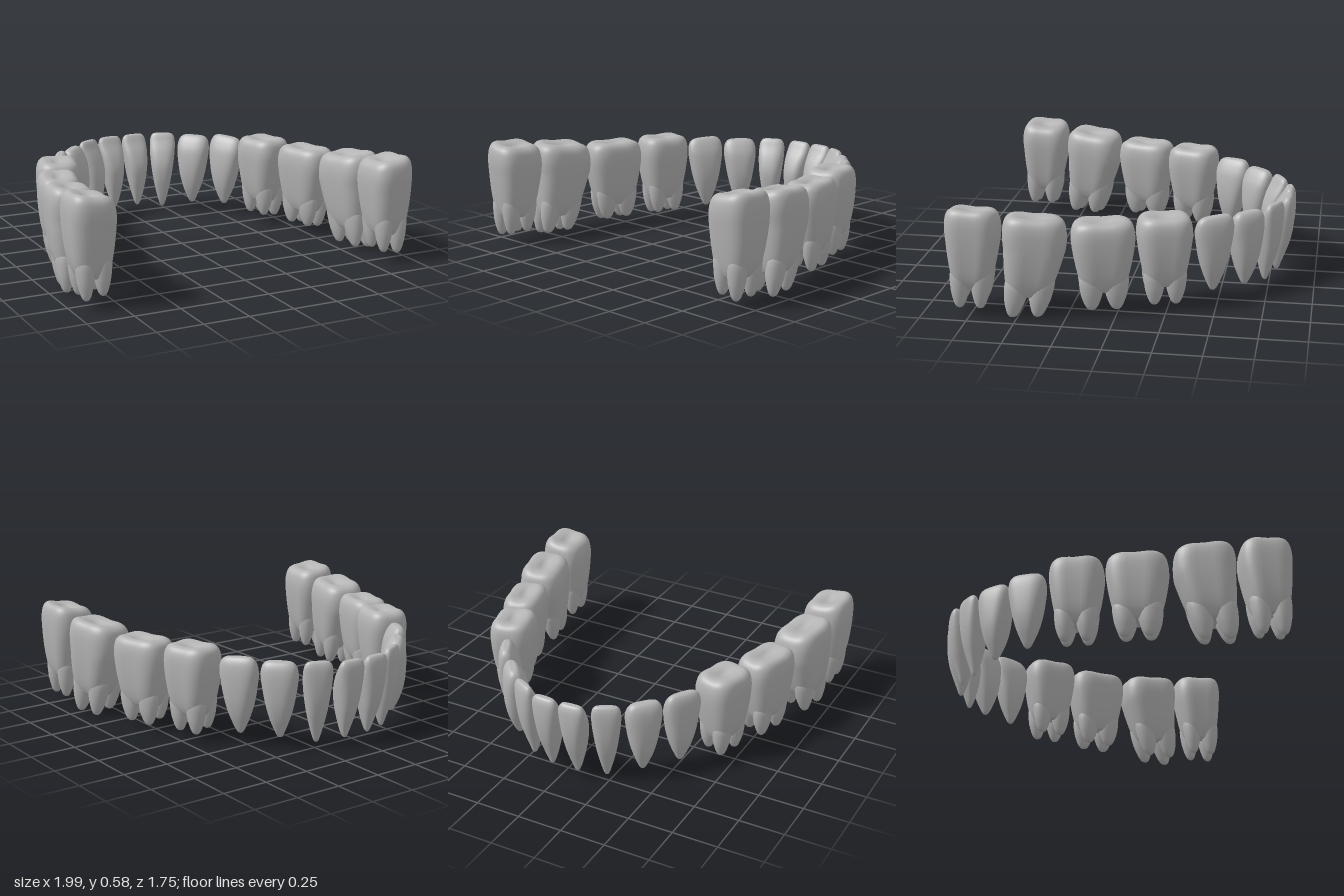
import * as THREE from 'three';

const enamel = new THREE.MeshStandardMaterial({ color: 0xb4b4b4 });
enamel.name = 'enamel grey';

// Profiles, bottom to top: [height, half width, inner depth, outer depth], all as fractions.
const INCISOR = [
  [0, 0, -0.25, -0.25], [0.02, 0.15, -0.42, -0.1], [0.1, 0.32, -0.62, 0.08], [0.25, 0.54, -0.85, 0.42],
  [0.4, 0.72, -1, 0.72], [0.58, 0.88, -0.98, 0.93], [0.76, 0.99, -0.6, 1], [0.9, 0.99, -0.08, 0.96],
  [0.97, 0.87, 0.16, 0.84], [1, 0.62, 0.32, 0.68], [1, 0, 0.5, 0.5],
];
const CANINE = [
  [0, 0, -0.1, -0.1], [0.02, 0.14, -0.3, 0.1], [0.1, 0.3, -0.55, 0.35], [0.25, 0.54, -0.85, 0.7],
  [0.42, 0.74, -1, 0.92], [0.6, 0.89, -0.98, 1], [0.78, 1, -0.8, 0.98], [0.9, 0.97, -0.5, 0.88],
  [0.97, 0.82, -0.22, 0.7], [1, 0.55, 0, 0.48], [1, 0, 0.22, 0.22],
];
const MOLAR = [
  [0.25, 0, 0, 0], [0.21, 0.5, -0.5, 0.5], [0.27, 0.69, -0.7, 0.72], [0.4, 0.81, -0.84, 0.87],
  [0.6, 0.93, -0.95, 0.97], [0.78, 1, -1, 1], [0.9, 0.98, -0.96, 0.97], [0.97, 0.89, -0.84, 0.86],
  [1, 0.7, -0.62, 0.66], [0.99, 0.45, -0.35, 0.35], [0.968, 0.2, -0.15, 0.15], [0.96, 0, 0, 0],
];

// One tapering root at depth v with radius r; tip is its lowest height
function rootProfile(v, r, tip) {
  const row = (t, k) => [t + tip, r * k, v - r * k, v + r * k];
  return [row(0, 0), row(0.02, 0.38), row(0.09, 0.7), row(0.22, 1), row(0.4, 1.02), row(0.5, 0)];
}

// Smooth closed skin through superellipse sections
function loft(profile, tooth, { power = 2, groove = 0, cusp = 0, shiftU = 0, rows = 44, segs = 40 } = {}) {
  const curve = (f) => new THREE.CatmullRomCurve3(profile.map(f), false, 'catmullrom', 0.5);
  const size = curve(([t, a]) => new THREE.Vector3(t, a, 0));
  const depth = curve(([, , v0, v1]) => new THREE.Vector3(v0, v1, 0));
  const sp = (c) => Math.sign(c) * Math.abs(c) ** (2 / power);
  const pos = [], idx = [];
  for (let j = 0; j <= rows; j++) {
    const s = size.getPoint(j / rows), d = depth.getPoint(j / rows);
    const end = j === 0 || j === rows;
    for (let i = 0; i < segs; i++) {
      const ang = (i / segs) * Math.PI * 2;
      const cu = sp(Math.cos(ang)), cv = sp(Math.sin(ang));
      const u = shiftU + cu * (end ? 0 : Math.max(s.y, 0));
      const dent = 1 - groove * Math.exp(-((cu * 2.6) ** 2)) * (1.3 - 0.7 * s.x);
      const v = (d.x + d.y) / 2 + (end ? 0 : cv * Math.max((d.y - d.x) / 2, 0) * dent);
      // cusps at the four corners of the chewing face
      const bump = s.x > 0.9 ? cusp * Math.abs(Math.sin(2 * ang)) * Math.min(1, s.y * 1.4) * (s.x - 0.9) * 10 : 0;
      // lean sweeps the roots backwards, tilt and rise slope the chewing face
      const swept = u - tooth.lean * Math.max(0, 0.7 - s.x);
      pos.push((swept * tooth.w) / 2,
        tooth.y0 + s.x * (tooth.y1 - tooth.y0) + bump + (tooth.tilt * v - tooth.rise * u) * s.x ** 3,
        (v * tooth.d) / 2);
    }
  }
  for (let j = 0; j < rows; j++) for (let i = 0; i < segs; i++) {
    const n = (i + 1) % segs, a = j * segs + i, b = j * segs + n;
    idx.push(a, a + segs, b, b, a + segs, b + segs);
  }
  const geo = new THREE.BufferGeometry();
  geo.setAttribute('position', new THREE.Float32BufferAttribute(pos, 3));
  geo.setIndex(idx);
  return geo;
}

// Mirror across x = 0, keeping the faces outward
function mirrored(geo) {
  const g = geo.clone().scale(-1, 1, 1), ix = g.index;
  for (let i = 0; i < ix.count; i += 3) {
    const a = ix.getX(i);
    ix.setX(i, ix.getX(i + 1));
    ix.setX(i + 1, a);
  }
  return g;
}

// Left half of the arch; turn = degrees the outer face is turned from the back towards +x
const TEETH = [
  { name: 'CentralIncisor', kind: INCISOR, x: 0.079, z: -0.803, turn: 3, w: 0.15, d: 0.145, y0: 0.03, y1: 0.467 },
  { name: 'LateralIncisor', kind: INCISOR, x: 0.233, z: -0.745, turn: 28, w: 0.155, d: 0.135, y0: 0.02, y1: 0.472 },
  { name: 'Canine', kind: CANINE, x: 0.388, z: -0.633, turn: 48, w: 0.195, d: 0.145, y0: 0.05, y1: 0.47 },
  { name: 'Premolar', kind: CANINE, x: 0.53, z: -0.475, turn: 61, w: 0.21, d: 0.13, y0: 0.06, y1: 0.482, rise: -0.006 },
  { name: 'FirstMolar', kind: MOLAR, x: 0.657, z: -0.23, turn: 75, w: 0.29, d: 0.248, y0: 0.035, y1: 0.508 },
  { name: 'SecondMolar', kind: MOLAR, x: 0.77, z: 0.073, turn: 75, w: 0.33, d: 0.235, y0: 0.03, y1: 0.502 },
  { name: 'ThirdMolar', kind: MOLAR, x: 0.845, z: 0.414, turn: 79, w: 0.33, d: 0.262, y0: 0, y1: 0.53, tilt: 0.01, rise: 0.014, lean: 0.5 },
  { name: 'RearMolar', kind: MOLAR, x: 0.872, z: 0.73, turn: 88, w: 0.28, d: 0.255, y0: 0.04, y1: 0.565, tilt: 0.018, rise: 0.006, lean: 0.2 },
];

export function createModel() {
  const model = new THREE.Group();
  model.name = 'toothArch';
  for (const spec of TEETH) {
    const tooth = { tilt: 0, rise: 0, lean: 0, ...spec };
    const parts = [];
    if (tooth.kind === MOLAR) {
      parts.push(['Crown', loft(MOLAR, tooth, { power: 3, groove: 0.08, cusp: 0.006 })]);
      // two outer roots and two slightly shorter inner ones
      for (const u of [-0.39, 0.39]) for (const [v, tip] of [[0.36, 0], [-0.34, 0.03]])
        parts.push(['Root', loft(rootProfile(v, 0.36, tip), tooth, { shiftU: u, rows: 16, segs: 20 })]);
    } else {
      parts.push(['Body', loft(tooth.kind, tooth, { power: 2.7 })]);
    }
    for (const side of ['left', 'right']) {
      const group = new THREE.Group();
      group.name = side + tooth.name;
      for (const [label, base] of parts) {
        let geo = base.clone().rotateY(Math.PI - THREE.MathUtils.degToRad(tooth.turn)).translate(tooth.x, 0, tooth.z);
        if (side === 'right') geo = mirrored(geo);
        geo.computeVertexNormals();
        const mesh = new THREE.Mesh(geo, enamel);
        mesh.name = group.name + label;
        group.add(mesh);
      }
      model.add(group);
    }
  }
  return model;
}
